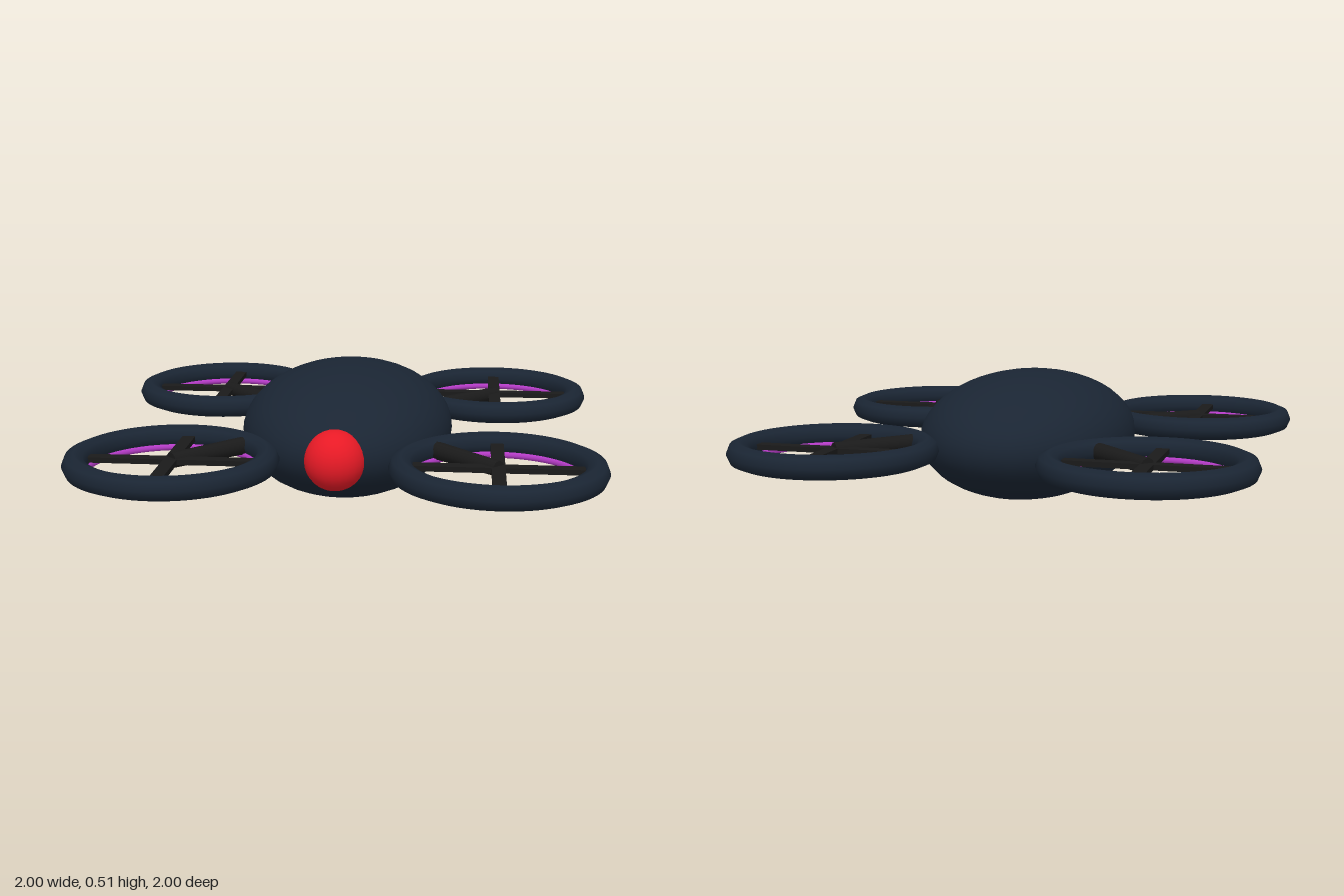
import * as THREE from 'three';

const paint = (name, color) => Object.assign(new THREE.MeshStandardMaterial({ color }), { name });

export function createModel() {
  const navy = paint('navy shell', 0x1a2533);
  const black = paint('black struts', 0x1a1a1a);
  const red = paint('red nose', 0xea1a26);
  const purple = paint('purple glow', 0xb63cc8);

  const model = new THREE.Group();
  model.name = 'quadcopter';
  const midY = 0.257;

  function add(parent, name, geometry, material, x = 0, y = 0, z = 0) {
    const mesh = new THREE.Mesh(geometry, material);
    mesh.name = name;
    mesh.position.set(x, y, z);
    parent.add(mesh);
    return mesh;
  }

  // Egg-shaped hull and its round nose
  const hull = new THREE.SphereGeometry(1, 32, 24).scale(0.422, 0.254, 0.594);
  add(model, 'hull', hull, navy, 0, midY, 0);
  add(model, 'nose', new THREE.SphereGeometry(0.115, 24, 16), red, 0, midY, 0.541);

  // Shared rotor geometries, lying in the ground plane
  const guardGeo = new THREE.TorusGeometry(0.353, 0.046, 8, 64).rotateX(Math.PI / 2);
  const glowGeo = new THREE.TorusGeometry(0.322, 0.014, 8, 64).rotateX(Math.PI / 2);
  const bladeGeo = new THREE.BoxGeometry(0.66, 0.02, 0.05);

  // Arm runs from the rotor hub into the hull, widening inward
  const armLength = 0.45;
  const armGeo = new THREE.CylinderGeometry(0.036, 0.029, armLength, 16)
    .translate(0, armLength / 2, 0)
    .rotateX(Math.PI / 2);

  for (const sx of [-1, 1]) {
    for (const sz of [-1, 1]) {
      const rotor = new THREE.Group();
      rotor.name = `${sz > 0 ? 'front' : 'back'}${sx > 0 ? 'Left' : 'Right'}Rotor`;
      rotor.position.set(sx * 0.6, midY, sz * 0.6);
      add(rotor, 'guardRing', guardGeo, navy);
      add(rotor, 'glowRing', glowGeo, purple, 0, -0.036, 0);
      add(rotor, 'crossBlade', bladeGeo, black);
      add(rotor, 'lengthBlade', bladeGeo, black).rotation.y = Math.PI / 2;
      add(rotor, 'arm', armGeo, black).rotation.y = Math.atan2(-sx, -sz);
      model.add(rotor);
    }
  }
  return model;
}
